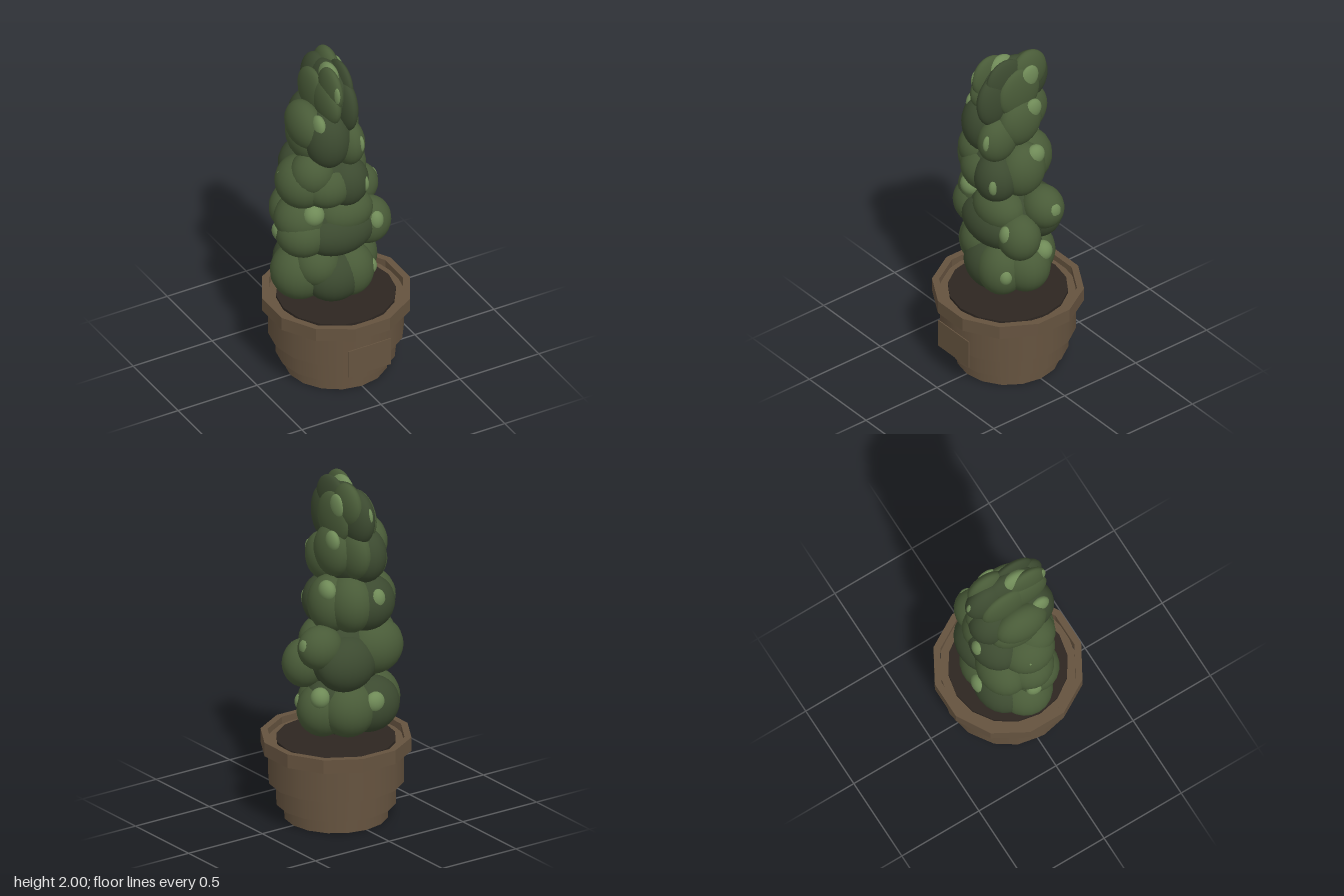
import * as THREE from 'three';

const mat = (color, extra = {}) => new THREE.MeshStandardMaterial({ color, ...extra });
const clay = mat(0x65533f);
const clayFlat = mat(0x65533f, { flatShading: true });
const soilMat = mat(0x2d2621);
const greens = { dark: mat(0x3c4a30), mid: mat(0x495b38), light: mat(0x6f8a57) };
const blob = new THREE.SphereGeometry(1, 22, 16);

function add(parent, name, geometry, material, x = 0, y = 0, z = 0) {
  const mesh = new THREE.Mesh(geometry, material);
  mesh.name = name;
  mesh.position.set(x, y, z);
  parent.add(mesh);
  return mesh;
}

// Regular polygon with its flats on the axes
function polygon(radius, sides, Type) {
  const points = [];
  for (let i = 0; i < sides; i++) {
    const a = ((i + 0.5) / sides) * Math.PI * 2;
    points.push(new THREE.Vector2(Math.cos(a) * radius, Math.sin(a) * radius));
  }
  return new Type(points);
}

function makePot() {
  const pot = new THREE.Group();
  pot.name = 'pot';
  const tier = (name, r, y0, y1, material = clay) =>
    add(pot, name, new THREE.CylinderGeometry(r, r, y1 - y0, 16), material, 0, (y0 + y1) / 2, 0);
  tier('potFoot', 0.29, 0, 0.085);
  tier('potLowerBody', 0.335, 0.085, 0.215);
  tier('potUpperBody', 0.378, 0.215, 0.445);
  tier('soil', 0.333, 0.43, 0.46, soilMat);

  // Twelve-sided open rim
  const ring = polygon(0.421, 12, THREE.Shape);
  ring.holes.push(polygon(0.382, 12, THREE.Path));
  const rim = new THREE.ExtrudeGeometry(ring, { depth: 0.08, bevelEnabled: false });
  rim.rotateX(-Math.PI / 2);
  add(pot, 'potRim', rim, clayFlat, 0, 0.402, 0);

  add(pot, 'frontPlate', new THREE.BoxGeometry(0.27, 0.17, 0.006), clayFlat, -0.003, 0.24, 0.379);
  return pot;
}

// One tier of foliage: rows of centre x, y, z and radius x, y, z for each shade
function makeTier(name, shades) {
  const tier = new THREE.Group();
  tier.name = name;
  for (const [shade, rows] of Object.entries(shades)) {
    for (const [x, y, z, rx, ry, rz] of rows) {
      add(tier, shade + 'LeafClump', blob, greens[shade], x, y, z).scale.set(rx, ry, rz);
    }
  }
  return tier;
}

export function createModel() {
  const model = new THREE.Group();
  model.name = 'pottedShrub';
  model.add(makePot());

  const foliage = new THREE.Group();
  foliage.name = 'foliage';
  model.add(foliage);

  foliage.add(makeTier('bottomTier', {
    dark: [
      [-0.05, 0.67, -0.03, 0.23, 0.19, 0.2],
      [-0.05, 0.64, 0.07, 0.18, 0.16, 0.145],
      [-0.13, 0.67, -0.13, 0.18, 0.16, 0.15],
      [0.07, 0.73, -0.04, 0.14, 0.12, 0.13],
    ],
    mid: [
      [-0.21, 0.66, -0.03, 0.17, 0.17, 0.16],
      [-0.15, 0.73, 0.05, 0.135, 0.135, 0.13],
      [0.04, 0.65, 0.08, 0.14, 0.16, 0.135],
      [0.11, 0.66, -0.03, 0.15, 0.155, 0.14],
      [0.01, 0.67, -0.13, 0.16, 0.16, 0.15],
    ],
    light: [
      [0.18, 0.76, -0.1, 0.055, 0.06, 0.055],
      [-0.09, 0.72, -0.24, 0.06, 0.06, 0.045],
      [0.14, 0.66, 0.13, 0.04, 0.05, 0.04],
    ],
  }));

  foliage.add(makeTier('secondTier', {
    dark: [
      [-0.04, 0.97, -0.03, 0.25, 0.2, 0.2],
      [-0.03, 0.93, 0.08, 0.22, 0.145, 0.14],
      [0.04, 0.95, -0.15, 0.18, 0.16, 0.14],
    ],
    mid: [
      [-0.21, 1.02, -0.01, 0.16, 0.15, 0.15],
      [-0.22, 0.94, 0.02, 0.155, 0.14, 0.15],
      [0.17, 0.92, 0.06, 0.13, 0.14, 0.12],
      [0.18, 1.06, -0.1, 0.13, 0.125, 0.115],
      [-0.16, 1.01, -0.14, 0.17, 0.16, 0.14],
      [0.01, 1.04, 0.07, 0.17, 0.13, 0.13],
    ],
    light: [
      [-0.2, 1.09, 0.1, 0.062, 0.065, 0.06],
      [0.17, 0.96, 0.145, 0.045, 0.06, 0.04],
      [0.28, 1.08, -0.1, 0.03, 0.05, 0.045],
      [-0.34, 0.95, -0.04, 0.035, 0.055, 0.05],
    ],
  }));

  foliage.add(makeTier('thirdTier', {
    dark: [
      [-0.07, 1.28, -0.03, 0.2, 0.175, 0.2],
      [0.01, 1.25, 0.09, 0.13, 0.15, 0.125],
      [-0.1, 1.28, -0.14, 0.17, 0.16, 0.15],
    ],
    mid: [
      [-0.21, 1.26, -0.01, 0.15, 0.155, 0.16],
      [-0.18, 1.34, 0.05, 0.125, 0.13, 0.125],
      [0.07, 1.28, -0.04, 0.12, 0.165, 0.14],
      [0, 1.29, -0.13, 0.13, 0.165, 0.15],
      [-0.1, 1.25, 0.08, 0.15, 0.13, 0.13],
    ],
    light: [
      [0.125, 1.38, -0.09, 0.045, 0.06, 0.06],
      [0.085, 1.25, 0.16, 0.025, 0.055, 0.04],
      [-0.1, 1.33, -0.245, 0.05, 0.06, 0.045],
      [-0.31, 1.3, -0.04, 0.035, 0.05, 0.05],
    ],
  }));

  foliage.add(makeTier('fourthTier', {
    dark: [
      [-0.06, 1.56, -0.03, 0.16, 0.185, 0.19],
      [-0.1, 1.56, 0.08, 0.13, 0.18, 0.135],
      [-0.08, 1.57, -0.15, 0.12, 0.16, 0.14],
    ],
    mid: [
      [-0.18, 1.61, -0.03, 0.095, 0.14, 0.16],
      [-0.16, 1.52, -0.05, 0.1, 0.14, 0.16],
      [0.02, 1.51, 0.09, 0.09, 0.14, 0.125],
      [0.05, 1.59, -0.04, 0.085, 0.15, 0.14],
      [-0.02, 1.59, -0.13, 0.08, 0.155, 0.15],
    ],
    light: [
      [-0.165, 1.67, 0.1, 0.035, 0.065, 0.06],
      [0.05, 1.53, 0.18, 0.02, 0.055, 0.035],
      [0.095, 1.67, -0.1, 0.03, 0.06, 0.055],
    ],
  }));

  foliage.add(makeTier('topTier', {
    dark: [
      [-0.03, 1.8, -0.03, 0.085, 0.175, 0.19],
      [0, 1.76, 0.1, 0.055, 0.16, 0.115],
      [-0.03, 1.8, -0.15, 0.08, 0.16, 0.14],
      [0.01, 1.87, 0.03, 0.04, 0.13, 0.13],
    ],
    mid: [
      [-0.075, 1.87, 0.07, 0.045, 0.13, 0.12],
      [-0.09, 1.78, 0.05, 0.055, 0.13, 0.14],
      [-0.1, 1.77, -0.08, 0.05, 0.15, 0.15],
      [0.015, 1.87, -0.13, 0.055, 0.13, 0.12],
      [0.045, 1.78, -0.04, 0.045, 0.15, 0.14],
    ],
    light: [
      [-0.05, 1.905, 0.01, 0.048, 0.09, 0.09],
      [0.065, 1.87, -0.1, 0.022, 0.07, 0.06],
      [-0.085, 1.88, 0.155, 0.018, 0.06, 0.035],
      [-0.035, 1.83, -0.25, 0.022, 0.06, 0.04],
    ],
  }));
  return model;
}
